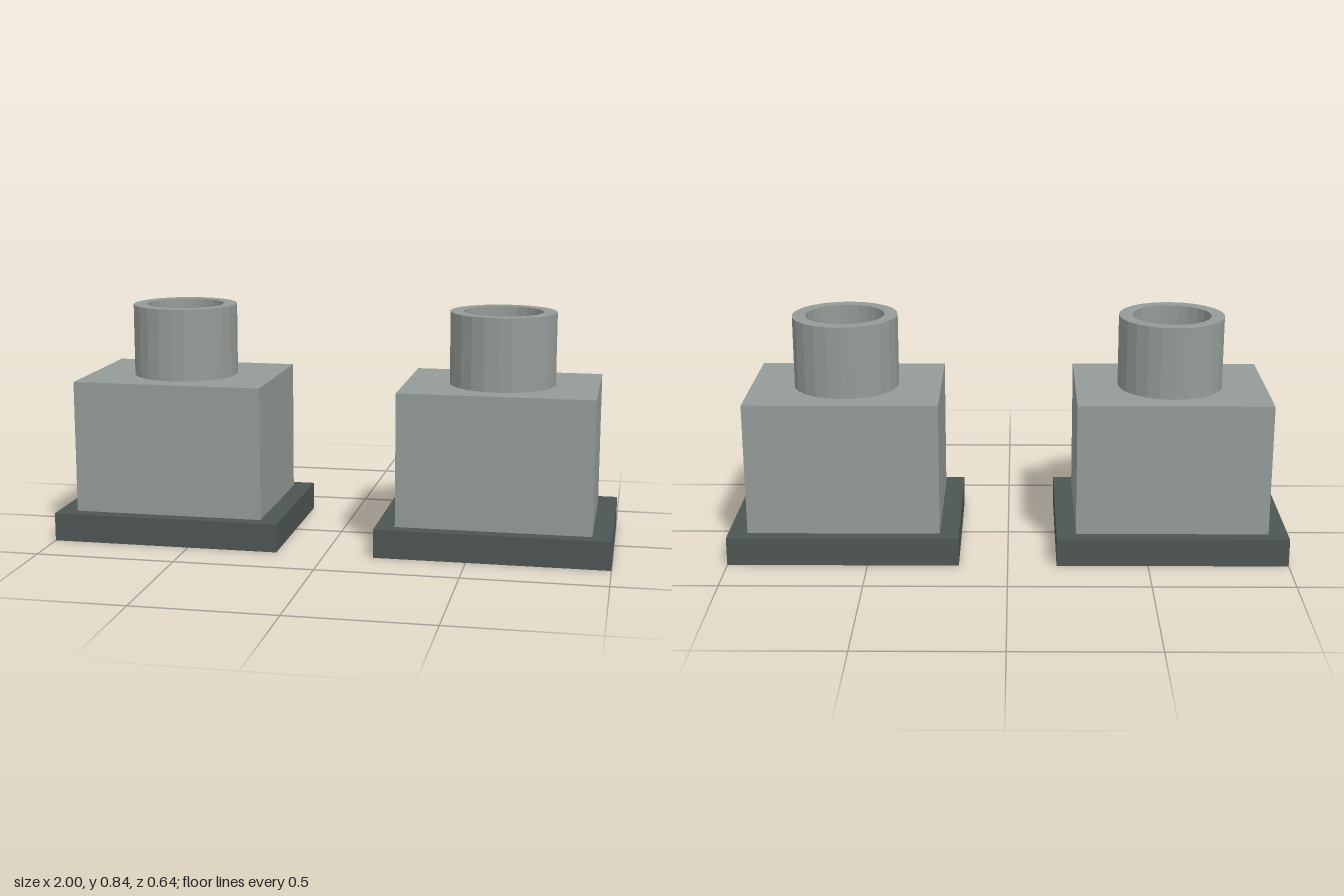
import * as THREE from 'three';

const CENTRE_X = 0.587;

export function createModel() {
  const model = new THREE.Group();
  model.name = 'pipeBlockPair';

  const paleGrey = new THREE.MeshStandardMaterial({ color: 0x949b97, flatShading: true });
  paleGrey.name = 'pale grey';
  const darkGrey = new THREE.MeshStandardMaterial({ color: 0x4d5654, flatShading: true });
  darkGrey.name = 'dark grey';

  // Box standing on the given height
  const box = (name, w, h, d, bottom, material) => {
    const mesh = new THREE.Mesh(new THREE.BoxGeometry(w, h, d), material);
    mesh.name = name;
    mesh.position.y = bottom + h / 2;
    return mesh;
  };

  // Hollow collar: outer wall, rim, then inner wall down to the block top
  const collarProfile = [[0.19, 0.58], [0.19, 0.84], [0.142, 0.84], [0.142, 0.58]]
    .map(([r, y]) => new THREE.Vector2(r, y));

  for (const [side, sign] of [['left', 1], ['right', -1]]) {
    const unit = new THREE.Group();
    unit.name = `${side}Unit`;
    unit.position.x = sign * CENTRE_X;

    const collar = new THREE.Mesh(new THREE.LatheGeometry(collarProfile, 24), paleGrey);
    collar.name = 'collar';

    unit.add(
      box('basePlate', 0.826, 0.102, 0.638, 0, darkGrey),
      box('block', 0.688, 0.478, 0.537, 0.102, paleGrey),
      collar
    );
    model.add(unit);
  }
  return model;
}
